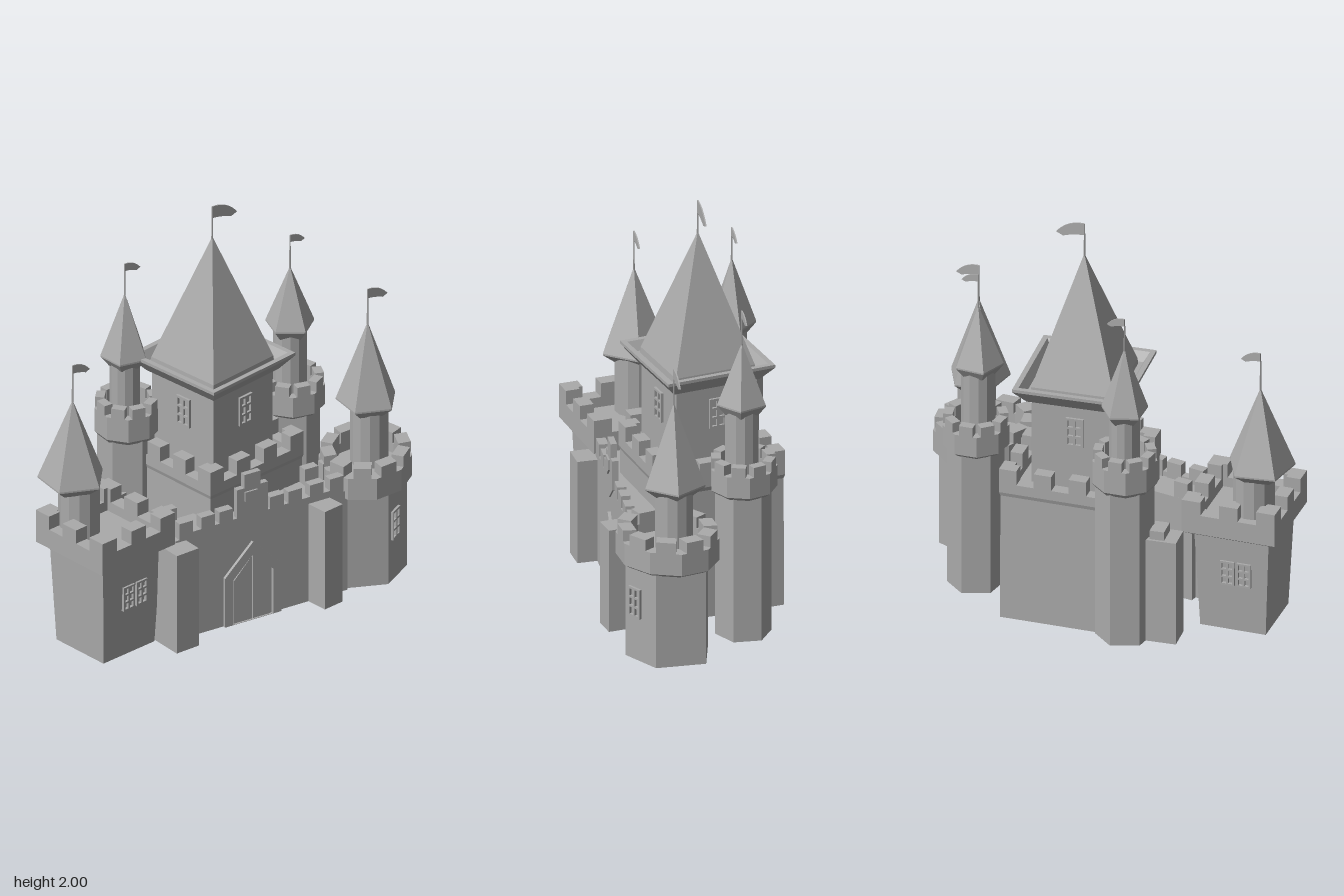
import * as THREE from 'three';

const stone = new THREE.MeshStandardMaterial({ color: 0xaaaaaa });
stone.name = 'stone grey';

function add(parent, geo, name, x = 0, y = 0, z = 0, ry = 0) {
  const flat = geo.index ? geo.toNonIndexed() : geo;
  flat.computeVertexNormals();
  const m = new THREE.Mesh(flat, stone);
  m.name = name;
  m.position.set(x, y, z);
  m.rotation.y = ry;
  parent.add(m);
  return m;
}

function group(parent, name, x = 0, z = 0, ry = 0) {
  const g = new THREE.Group();
  g.name = name;
  g.position.set(x, 0, z);
  g.rotation.y = ry;
  parent.add(g);
  return g;
}

// Faceted solid turned from a [radius, height] profile, bottom to top
const turned = (profile, sides, start = 0) => new THREE.LatheGeometry(
  profile.map(([r, y]) => new THREE.Vector2(r, y)), sides, start);

const shapeOf = pts => new THREE.Shape(pts.map(([x, y]) => new THREE.Vector2(x, y)));
const slab = (shape, depth) => new THREE.ExtrudeGeometry(shape, { depth, bevelEnabled: false });

// Overhanging platform with a parapet wall and merlons on every edge
function battlement(parent, o) {
  const { r, rIn, sides, start, y0, floor, wall, top, count, t } = o;
  add(parent, turned([[0, y0 - 0.02], [rIn, y0 - 0.02], [r, y0], [r, floor], [0, floor]], sides, start), 'platform');
  const step = Math.PI * 2 / sides;
  const edge = 2 * r * Math.sin(step / 2);
  const d = r * Math.cos(step / 2) - t / 2;
  for (let i = 0; i < sides; i++) {
    const a = start + (i + 0.5) * step;
    const side = group(parent, 'parapetSide', 0, 0, a);
    add(side, new THREE.BoxGeometry(edge, wall - floor, t), 'parapet', 0, (wall + floor) / 2, d);
    const w = count > 1 ? edge / (2 * count - 1) : edge * 0.62;
    for (let k = 0; k < count; k++) {
      const x = count > 1 ? -edge / 2 + w / 2 + 2 * w * k : 0;
      add(side, new THREE.BoxGeometry(w, top - wall, t), 'merlon', x, (top + wall) / 2, d);
    }
  }
}

// Framed window with cross bars, facing +z
function windowFrame(parent, w, h, x, y, z) {
  const rect = (a, b, c, d) => [[a, b], [c, b], [c, d], [a, d]];
  const s = shapeOf(rect(-w / 2, -h / 2, w / 2, h / 2));
  const b = w * 0.13, ph = (h - b * 4) / 3, pw = (w - b * 3) / 2;
  for (let i = 0; i < 2; i++) for (let j = 0; j < 3; j++) {
    const px = -w / 2 + b + i * (pw + b), py = -h / 2 + b + j * (ph + b);
    s.holes.push(new THREE.Path(rect(px, py, px + pw, py + ph).reverse()
      .map(([u, v]) => new THREE.Vector2(u, v))));
  }
  add(parent, slab(s, 0.02), 'windowFrame', x, y, z - 0.008);
}

// Pole and waving pennant
function flag(parent, x, z, y0, y1, len) {
  const g = group(parent, 'flag', x, z);
  add(g, new THREE.CylinderGeometry(0.003, 0.005, y1 - y0 + 0.03, 5), 'flagPole', 0, (y0 + y1) / 2 - 0.015, 0);
  const s = new THREE.Shape();
  s.moveTo(0, 0);
  s.quadraticCurveTo(len * 0.6, 0, len, -len * 0.5);
  s.lineTo(len * 0.75, -len * 0.6);
  s.quadraticCurveTo(len * 0.4, -len * 0.45, 0, -len * 0.42);
  add(g, slab(s, 0.006), 'pennant', 0, y1, -0.003, 0.1);
}

// Slim round turret with a flared, pointed roof and flag
function turret(parent, x, z, o) {
  const { r, y0, eave, rimR, apex, flagTop, len, start, shaftX = 0 } = o;
  const g = group(parent, 'turret', x, z);
  add(g, new THREE.CylinderGeometry(r, r, eave - y0 + 0.02, 12), 'turretShaft', shaftX, (eave + y0) / 2, 0);
  add(g, turned([[0, eave - 0.05], [r * 1.02, eave - 0.05], [rimR, eave], [rimR, eave + 0.008], [0, apex]],
    5, start), 'turretRoof');
  flag(g, 0, 0, apex, flagTop, len);
}

function mainKeep(root) {
  const q = Math.PI / 4, k = Math.SQRT1_2;
  const sq = (s, y) => [s * k, y];
  const base = group(root, 'lowerKeep', 0.06, -0.095, 0.205);
  add(base, turned([[0, 0], sq(0.595, 0), sq(0.59, 0.68), [0, 0.68]], 4, q), 'keepBase');
  battlement(base, { r: 0.602 * k, rIn: 0.59 * k, sides: 4, start: q, y0: 0.67, floor: 0.68, wall: 0.72, top: 0.795, count: 4, t: 0.06 });
  const g = group(root, 'upperKeep', 0.046, -0.078, 0.25);
  add(g, turned([sq(0.4, 0.6), sq(0.4, 1.14)], 4, q), 'keepUpper');
  // Flared open eave around the roof
  add(g, turned([[0, 1.13], sq(0.44, 1.13), sq(0.55, 1.2), sq(0.55, 1.215), sq(0.5, 1.215), sq(0.45, 1.17), [0, 1.17]], 4, q), 'eave');
  add(g, turned([sq(0.41, 1.165), sq(0.405, 1.2), [0, 1.84]], 4, q), 'keepRoof');
  for (let i = 0; i < 4; i++)
    windowFrame(group(g, 'keepWindow', 0, 0, i * Math.PI / 2), 0.085, 0.15, 0.01, 0.99, 0.2);
  flag(root, 0.045, -0.078, 1.84, 2.0, 0.145);
}

function gateWall(root) {
  const g = group(root, 'gateWall');
  add(g, new THREE.BoxGeometry(0.95, 0.53, 0.19), 'wall', 0.065, 0.265, 0.235);
  add(g, new THREE.BoxGeometry(0.9, 0.03, 0.04), 'wallParapet', 0.065, 0.54, 0.31);
  for (const x of [-0.35, -0.23, -0.13, 0.15, 0.25, 0.37, 0.48])
    add(g, new THREE.BoxGeometry(0.075, 0.09, 0.045), 'wallMerlon', x, 0.57, 0.3075);
  for (const x of [-0.35, 0.43, 0.53])
    add(g, new THREE.BoxGeometry(0.075, 0.09, 0.045), 'rearWallMerlon', x, 0.57, 0.163);
  // Raised stepped panel over the gate, with a shield and pointed bracket
  add(g, slab(shapeOf([[0.01, 0.49], [0.095, 0.56], [0.095, 0.71], [0.055, 0.71], [0.055, 0.78],
    [-0.035, 0.78], [-0.035, 0.71], [-0.075, 0.71], [-0.075, 0.56]]), 0.03), 'gatePanel', 0, 0, 0.308);
  add(g, slab(shapeOf([[-0.035, 0.69], [-0.035, 0.64], [0, 0.605], [0.035, 0.64], [0.035, 0.69]]), 0.009), 'shield', 0, 0, 0.338);
  // Pointed door surround and two door leaves
  const arch = shapeOf([[-0.145, 0], [0.165, 0], [0.165, 0.26], [0.01, 0.415], [-0.145, 0.26]]);
  arch.holes.push(new THREE.Path([[-0.1, 0.002], [-0.1, 0.24], [0.01, 0.35], [0.12, 0.24], [0.12, 0.002]]
    .map(([x, y]) => new THREE.Vector2(x, y))));
  add(g, slab(arch, 0.02), 'doorSurround', 0, 0, 0.325);
  for (const s of [-1, 1]) {
    const pts = [[0.003, 0], [0.1, 0], [0.1, 0.23], [0.003, 0.335]].map(([x, y]) => [0.01 + s * x, y]);
    add(g, slab(shapeOf(pts), 0.008), 'doorLeaf', 0, 0, 0.328);
  }
  // Buttresses: two beside the gate, one behind with a small cap
  add(g, new THREE.BoxGeometry(0.13, 0.52, 0.26), 'buttress', -0.42, 0.26, 0.305, 0.1);
  add(g, new THREE.BoxGeometry(0.115, 0.52, 0.17), 'buttress', 0.385, 0.26, 0.345, 0.2);
  add(g, new THREE.BoxGeometry(0.17, 0.54, 0.13), 'rearButtress', -0.46, 0.27, -0.225, 0.25);
  add(g, new THREE.BoxGeometry(0.07, 0.05, 0.1), 'rearButtressCap', -0.45, 0.56, -0.23, 0.25);
}

function squareTower(root) {
  const g = group(root, 'squareTower', -0.687, 0.153, 0.19);
  const q = Math.PI / 4, k = Math.SQRT1_2;
  add(g, turned([[0, 0], [0.325 * k, 0], [0.372 * k, 0.54], [0, 0.54]], 4, q), 'squareTowerBody');
  battlement(g, { r: 0.462 * k, rIn: 0.4 * k, sides: 4, start: q, y0: 0.52, floor: 0.57, wall: 0.62, top: 0.69, count: 3, t: 0.07 });
  for (const a of [0, Math.PI]) {
    const f = group(g, 'windowPair', 0, 0, a);
    for (const s of [-1, 1]) windowFrame(f, 0.07, 0.125, s * 0.041 + 0.02, 0.31, 0.177);
  }
  turret(root, -0.82, 0.075, { r: 0.098, y0: 0.55, eave: 0.865, rimR: 0.165, apex: 1.285, flagTop: 1.47,
    len: 0.1, start: Math.PI / 2, shaftX: 0.035 });
}

// Front tower: uneven six-sided body under a rim that is longer along its diagonal
function frontTower(root) {
  const plan = [[0.5, 0.3], [0.73, 0.385], [0.905, 0.27], [0.895, 0.03], [0.71, -0.01], [0.53, 0.12]];
  const body = slab(shapeOf(plan.map(([x, z]) => [x, -z])), 0.5);
  body.rotateX(-Math.PI / 2);
  add(root, body, 'frontTowerBody');
  const rim = group(root, 'frontTowerRim', 0.727, 0.185, Math.PI / 4);
  rim.scale.set(1.1, 1, 0.94);
  battlement(rim, { r: 0.232, rIn: 0.2, sides: 10, start: 0.2, y0: 0.49, floor: 0.55, wall: 0.6, top: 0.655, count: 1, t: 0.064 });
  windowFrame(group(root, 'towerWindow', 0.8175, 0.3275, Math.atan2(0.115, 0.175)), 0.08, 0.15, -0.035, 0.295, 0);
  turret(root, 0.755, 0.16, { r: 0.09, y0: 0.53, eave: 0.87, rimR: 0.15, apex: 1.29, flagTop: 1.465,
    len: 0.115, start: 0.3, shaftX: 0.01 });
}

// Tall six-sided tower with a battlement ring
function hexTower(root, name, x, z, bodyR, rimR, y0, wall, top) {
  const g = group(root, name, x, z);
  add(g, turned([[0, 0], [bodyR, 0], [bodyR, y0 + 0.02], [0, y0 + 0.02]], 6), name + 'Body');
  battlement(g, { r: rimR, rIn: bodyR, sides: 9, start: 0.2, y0, floor: y0 + 0.06, wall, top, count: 1, t: rimR * 0.28 });
}

export function createModel() {
  const root = new THREE.Group();
  root.name = 'castle';
  mainKeep(root);
  gateWall(root);
  squareTower(root);
  frontTower(root);

  hexTower(root, 'sideTower', 0.56, -0.205, 0.135, 0.16, 0.75, 0.855, 0.905);
  turret(root, 0.55, -0.2, { r: 0.08, y0: 0.8, eave: 1.17, rimR: 0.12, apex: 1.48, flagTop: 1.645,
    len: 0.085, start: 0.1 });

  hexTower(root, 'rearTower', -0.295, -0.29, 0.14, 0.155, 0.82, 0.94, 0.99);
  turret(root, -0.3, -0.3, { r: 0.072, y0: 0.86, eave: 1.2, rimR: 0.115, apex: 1.535, flagTop: 1.69,
    len: 0.09, start: 0.5 });
  return root;
}
